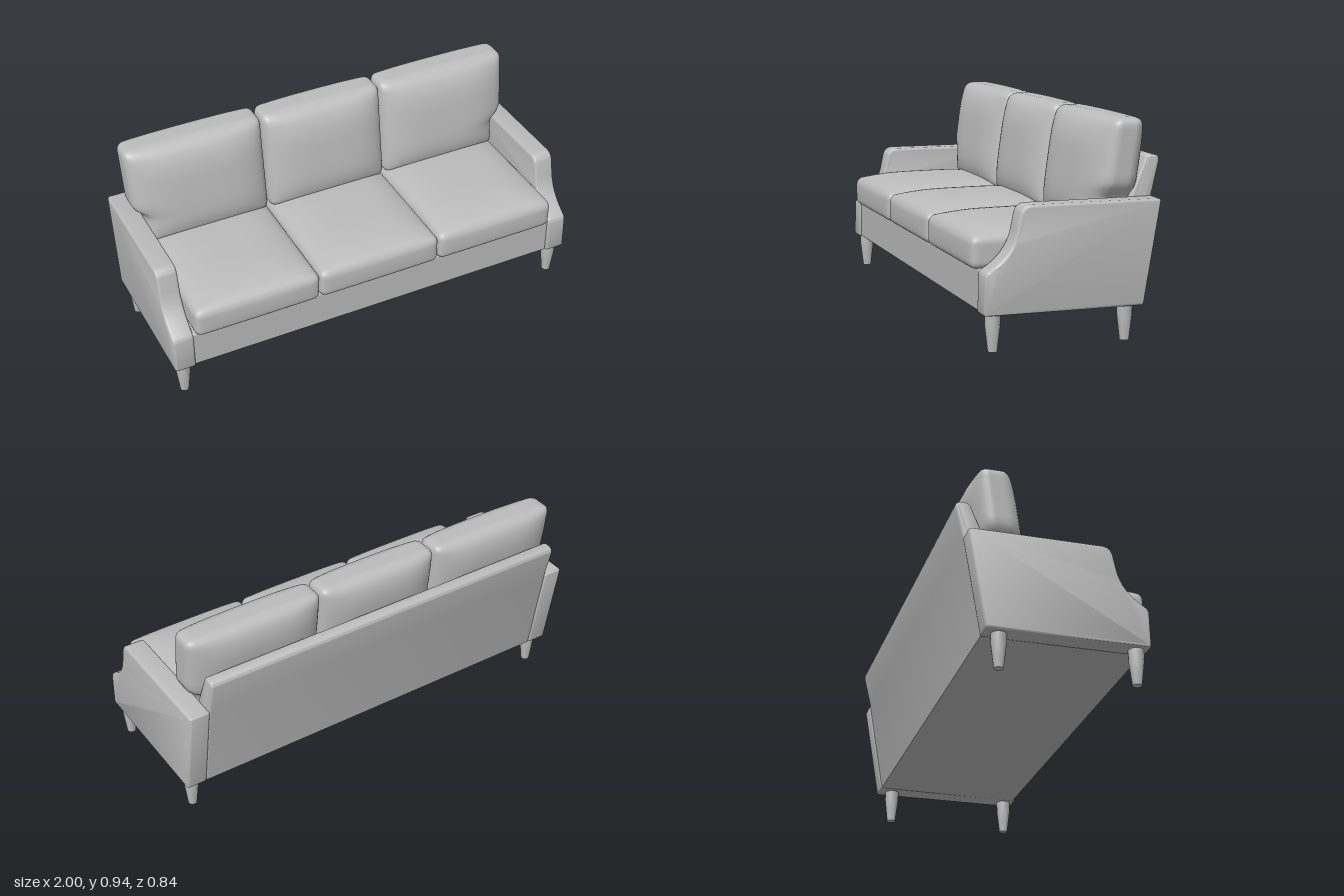
import * as THREE from 'three';
import { mergeVertices, toCreasedNormals } from 'three/addons/utils/BufferGeometryUtils.js';
import { RoundedBoxGeometry } from 'three/addons/geometries/RoundedBoxGeometry.js';

const fabric = new THREE.MeshStandardMaterial({ color: 0xbcbcbc });
fabric.name = 'grey fabric';

function add(parent, name, geometry) {
  const mesh = new THREE.Mesh(geometry, fabric);
  mesh.name = name;
  parent.add(mesh);
  return mesh;
}

// Side profile drawn in (z, y), extruded along x and centred on x = 0
function sideExtrude(shape, width, bevel) {
  const g = new THREE.ExtrudeGeometry(shape, {
    depth: width - 2 * bevel, curveSegments: 10,
    bevelSize: bevel, bevelThickness: bevel, bevelOffset: -bevel, bevelSegments: 4,
  });
  g.translate(0, 0, -(width - 2 * bevel) / 2);
  g.rotateY(-Math.PI / 2);
  return toCreasedNormals(g, 0.6);
}

// Rounded block with dense vertices, then reshaped by rule(p, u, v, w), u, v, w in -1..1
function cushion(w, h, d, r, rule) {
  const g = new THREE.BoxGeometry(2, 2, 2, 24, 24, 24);
  g.deleteAttribute('uv');
  g.deleteAttribute('normal');
  const half = new THREE.Vector3(w / 2, h / 2, d / 2);
  const core = half.clone().subScalar(r);
  const low = core.clone().negate();
  const pos = g.attributes.position;
  const p = new THREE.Vector3(), inner = new THREE.Vector3();
  const spread = (t) => Math.sin(t * Math.PI / 2);
  for (let i = 0; i < pos.count; i++) {
    p.fromBufferAttribute(pos, i);
    p.set(spread(p.x), spread(p.y), spread(p.z)).multiply(half);
    inner.copy(p).clamp(low, core);
    const reach = p.clone().sub(inner);
    const longest = Math.max(Math.abs(reach.x), Math.abs(reach.y), Math.abs(reach.z));
    if (longest > 0) p.copy(inner).add(reach.setLength(longest));
    rule(p, p.x / half.x, p.y / half.y, p.z / half.z);
    pos.setXYZ(i, p.x, p.y, p.z);
  }
  const merged = mergeVertices(g, 1e-5);
  merged.computeVertexNormals();
  return merged;
}

export function createModel() {
  const sofa = new THREE.Group();
  sofa.name = 'sofa';

  // Base under the seat
  const base = add(sofa, 'base', new RoundedBoxGeometry(1.82, 0.18, 0.68, 3, 0.012));
  base.position.set(0, 0.245, 0.041);

  // Leaning back frame
  const back = new THREE.Shape();
  back.moveTo(-0.2, 0.155);
  back.lineTo(-0.29, 0.6);
  back.lineTo(-0.352, 0.75);
  back.quadraticCurveTo(-0.36, 0.772, -0.385, 0.771);
  back.quadraticCurveTo(-0.425, 0.77, -0.419, 0.74);
  back.lineTo(-0.386, 0.6);
  back.lineTo(-0.311, 0.155);
  back.closePath();
  add(sofa, 'backFrame', sideExtrude(back, 1.815, 0.012));

  // Arms with a scooped front
  const arm = new THREE.Shape();
  arm.moveTo(-0.305, 0.151);
  arm.lineTo(0.38, 0.157);
  arm.quadraticCurveTo(0.391, 0.157, 0.391, 0.168);
  arm.lineTo(0.388, 0.31);
  arm.quadraticCurveTo(0.388, 0.33, 0.37, 0.341);
  arm.bezierCurveTo(0.3, 0.385, 0.265, 0.43, 0.25, 0.5);
  arm.lineTo(0.237, 0.562);
  arm.quadraticCurveTo(0.228, 0.601, 0.19, 0.602);
  arm.lineTo(-0.375, 0.598);
  arm.quadraticCurveTo(-0.388, 0.597, -0.387, 0.585);
  arm.lineTo(-0.316, 0.163);
  arm.quadraticCurveTo(-0.314, 0.151, -0.305, 0.151);
  const armGeometry = sideExtrude(arm, 0.098, 0.012);

  // Tapered legs
  const legProfile = [[0, 0], [0.02, 0], [0.026, 0.05], [0.033, 0.11], [0.034, 0.17]]
    .map(([x, y]) => new THREE.Vector2(x, y));
  const legGeometry = toCreasedNormals(new THREE.LatheGeometry(legProfile, 16), 0.6);

  for (const [side, label] of [[1, 'left'], [-1, 'right']]) {
    add(sofa, label + 'Arm', armGeometry).position.x = side * 0.951;
    add(sofa, label + 'FrontLeg', legGeometry).position.set(side * 0.948, 0, 0.34);
    add(sofa, label + 'BackLeg', legGeometry).position.set(side * 0.948, 0, -0.248);
  }

  // Seat cushions with a crowned top
  const seatGeometry = cushion(0.597, 0.137, 0.665, 0.032, (p, u, v, w) => {
    if (v > 0) p.y += 0.042 * v * (1 - u ** 4) * (1 - w ** 4);
    if (w > 0) p.z += 0.006 * w * (1 - u ** 4) * (1 - v * v);
  });

  // Back cushions: plump, leaning; the outer ones widen above the arms
  const backCushion = (side) => cushion(0.594, 0.47, 0.13, 0.035, (p, u, v, w) => {
    p.z += w * 0.054 * (1 - u ** 4) * (1 - v ** 4);
    p.z -= 0.14 * (p.y + 0.195);
    p.y += 0.004 * v * (1 - u * u);
    const step = THREE.MathUtils.smoothstep(p.y + 0.697, 0.595, 0.655);
    const outward = (u * side + 1) / 2;
    if (side) p.x += side * (0.05 + 0.012 * (v + 1) / 2) * step * outward ** 2;
  });

  [[-1, 'right'], [0, 'middle'], [1, 'left']].forEach(([side, label]) => {
    add(sofa, label + 'SeatCushion', seatGeometry).position.set(side * 0.598, 0.397, 0.078);
    add(sofa, label + 'BackCushion', backCushion(side))
      .position.set(side * 0.599, 0.697, side ? -0.203 : -0.199);
  });

  return sofa;
}
